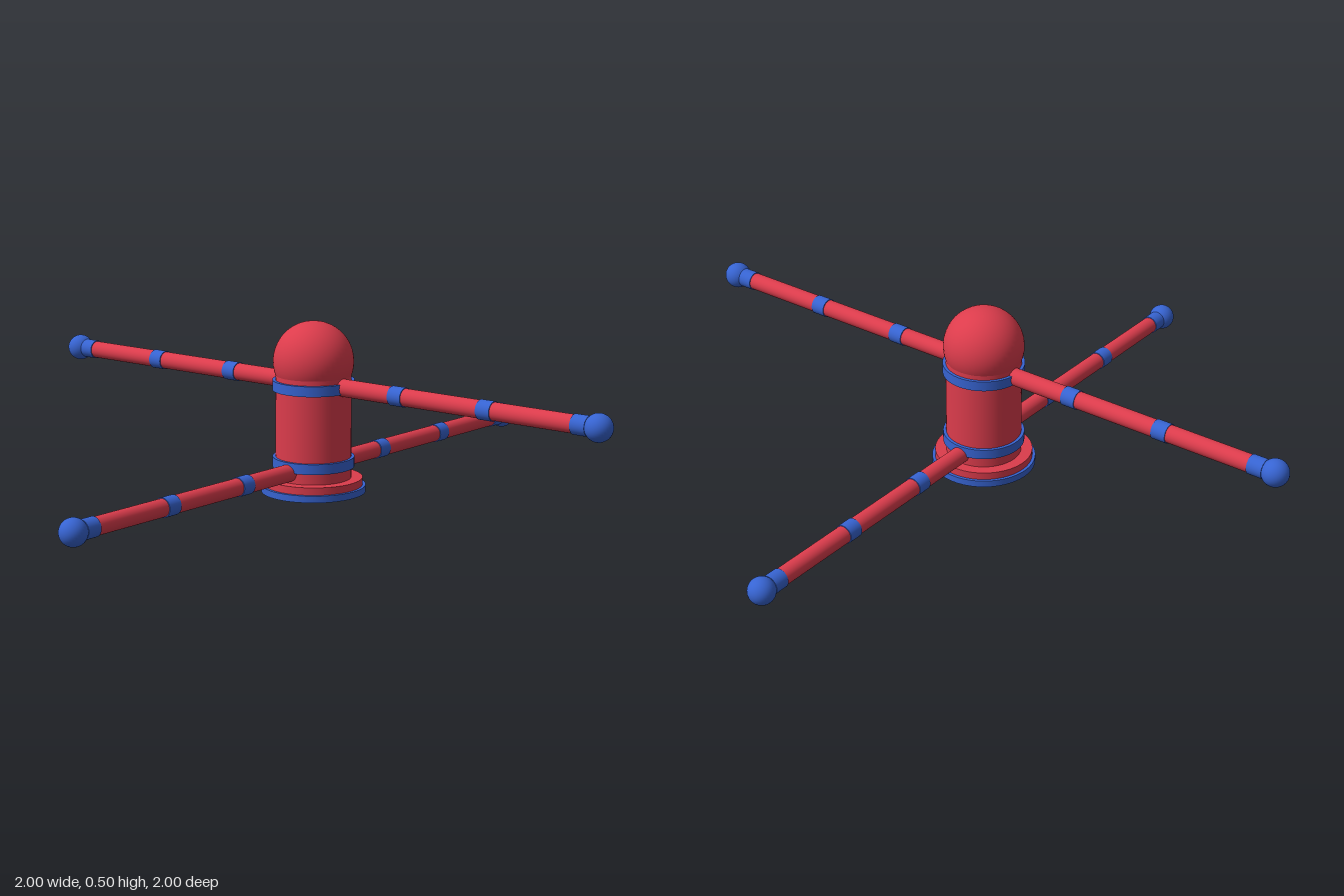
import * as THREE from 'three';

const red = new THREE.MeshStandardMaterial({ color: 0xdc3c4c });
red.name = 'red';
const blue = new THREE.MeshStandardMaterial({ color: 0x3764d2 });
blue.name = 'blue';

function add(parent, name, geometry, material, x = 0, y = 0, z = 0) {
  const mesh = new THREE.Mesh(geometry, material);
  mesh.name = name;
  mesh.position.set(x, y, z);
  parent.add(mesh);
  return mesh;
}

// Upright cylinder between two heights
function drum(parent, name, radius, y0, y1, material) {
  add(parent, name, new THREE.CylinderGeometry(radius, radius, y1 - y0, 48), material, 0, (y0 + y1) / 2, 0);
}

// Straight rod along x with collars and ball ends
function crossBar(name, y) {
  const bar = new THREE.Group();
  bar.name = name;
  bar.position.y = y;
  const rod = new THREE.CylinderGeometry(0.0255, 0.0255, 1.88, 32).rotateZ(Math.PI / 2);
  const collar = new THREE.CylinderGeometry(0.028, 0.028, 0.045, 32).rotateZ(Math.PI / 2);
  const ball = new THREE.SphereGeometry(0.039, 32, 20);
  add(bar, 'rod', rod, red);
  for (const side of [-1, 1]) {
    for (const x of [0.31, 0.61, 0.91]) add(bar, 'collar', collar, blue, side * x);
    add(bar, 'endBall', ball, blue, side * 0.961);
  }
  return bar;
}

export function createModel() {
  const model = new THREE.Group();
  model.name = 'crossBarPost';

  // Stepped base
  drum(model, 'basePlate', 0.152, 0, 0.02, blue);
  drum(model, 'baseStep', 0.143, 0.02, 0.042, red);

  // Post with bands and dome
  drum(model, 'post', 0.11, 0.042, 0.385, red);
  drum(model, 'lowerBand', 0.119, 0.074, 0.104, blue);
  drum(model, 'upperBand', 0.119, 0.3, 0.33, blue);
  add(model, 'dome', new THREE.SphereGeometry(0.117, 48, 32), red, 0, 0.383, 0);

  // Two crossed bars at different heights
  const lower = crossBar('lowerBar', 0.072);
  const upper = crossBar('upperBar', 0.318);
  upper.rotation.y = Math.PI / 2;
  model.add(lower, upper);
  return model;
}
